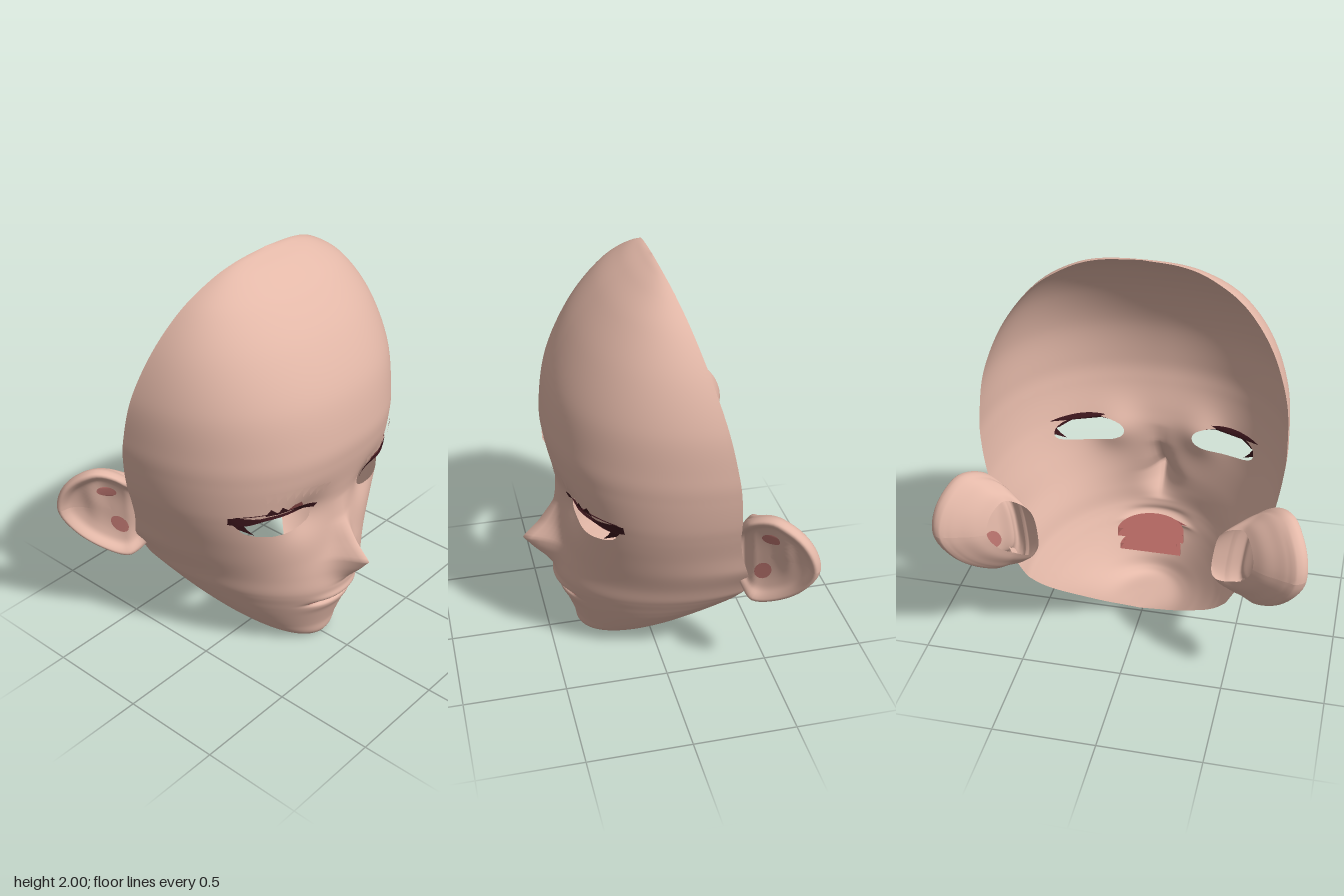
import * as THREE from 'three';

const mat = (name, color) => {
  const m = new THREE.MeshStandardMaterial({ color, side: THREE.DoubleSide });
  m.name = name;
  return m;
};
const V = (x, y, z) => new THREE.Vector3(x, y, z);
const bell = (v, c, w) => Math.exp(-(((v - c) / w) ** 2));
const step = THREE.MathUtils.smoothstep;

// One row per level: centre-line y, z, then rim x, y, z
const ROWS = [
  [2, -.037, 0, 2, -.037], [1.985, .005, .19, 1.985, -.042], [1.94, .09, .335, 1.94, -.06],
  [1.84, .215, .49, 1.84, -.095], [1.67, .35, .62, 1.67, -.148], [1.45, .455, .702, 1.45, -.21],
  [1.23, .49, .72, 1.23, -.258], [1.1, .48, .712, 1.1, -.278], [.96, .45, .69, .96, -.29],
  [.865, .435, .665, .865, -.295], [.73, .432, .625, .735, -.32], [.6, .44, .595, .61, -.36],
  [.49, .456, .562, .51, -.388], [.41, .465, .535, .44, -.378], [.36, .46, .51, .4, -.358],
  [.31, .445, .482, .36, -.332], [.26, .428, .455, .325, -.305], [.19, .4, .41, .27, -.255],
  [.1, .367, .335, .19, -.175], [.03, .35, .255, .125, -.11], [0, .3, .185, .085, -.07],
  [.02, .15, .1, .06, -.045], [.05, -.04, 0, .05, -.04],
];
const centreLine = new THREE.CatmullRomCurve3(ROWS.map(r => V(0, r[0], r[1])), false, 'catmullrom', .5);
const rimLine = new THREE.CatmullRomCurve3(ROWS.map(r => V(r[2], r[3], r[4])), false, 'catmullrom', .5);

// Nose height along the centre line, as a curve over y
const noseKeys = [[.4, 0], [.44, .035], [.5, .1], [.573, .17], [.65, .1], [.77, .02], [.88, 0]];
function noseHeight(y) {
  for (let i = 1; i < noseKeys.length; i++) {
    const [y0, h0] = noseKeys[i - 1], [y1, h1] = noseKeys[i];
    if (y >= y0 && y <= y1) return h0 + (h1 - h0) * (y - y0) / (y1 - y0);
  }
  return 0;
}

// Curved face sheet: u runs side to side (-1..1), v from crown to under the chin
function facePoint(u, v) {
  const c = centreLine.getPoint(v), r = rimLine.getPoint(v), q = Math.abs(u);
  const fullness = 2 + .25 * step(c.y, .4, .8) + .25 * bell(c.y, .85, .28);
  const e = 2 / fullness, a = q * Math.PI / 2;
  const tuck = .04 * step(.65 - r.y, 0, .2) * Math.min(1, Math.max(0, r.x / .3));
  const x = r.x * Math.sin(a) ** e - tuck * q ** 6;
  const y = c.y + (r.y - c.y) * q * q;
  let z = r.z + (c.z - r.z) * Math.max(0, Math.cos(a)) ** e;
  if (c.z > .3) {
    const noseWidth = .045 + .016 * bell(y, .52, .1);
    z += noseHeight(y) * Math.exp(-((Math.abs(x) / noseWidth) ** 1.4));
    const lips = Math.exp(-((x / .16) ** 4));
    z += lips * (.014 * bell(y, .33, .022) - .03 * bell(y, .296, .012) + .006 * bell(y, .258, .025));
    z -= .045 * bell(x, .22, .11) * bell(y, .86, .11);
  }
  return V(Math.sign(u) * x, y, z);
}
function faceSheet() {
  const g = new THREE.PlaneGeometry(2, 1, 120, 176), p = g.attributes.position;
  for (let i = 0; i < p.count; i++) {
    const f = facePoint(p.getX(i), Math.min(1, Math.max(0, .5 - p.getY(i))));
    p.setXYZ(i, f.x, f.y, f.z);
  }
  g.computeVertexNormals();
  return g;
}

// Negative inside an eye opening
function eyeField(p) {
  if (p.z < 0) return 1;
  const dx = Math.abs(p.x) - .345, dy = p.y - .862 - .07 * dx;
  return (Math.abs(dx) / .168) ** 2.3 + (Math.abs(dy) / .066) ** 2.3 - 1;
}
// Trim triangles where the field is negative, keeping smooth normals
function trim(g, field) {
  const P = g.attributes.position, N = g.attributes.normal, idx = g.index.array, pos = [], nor = [];
  for (let i = 0; i < idx.length; i += 3) {
    const tri = [0, 1, 2].map(k => {
      const p = new THREE.Vector3().fromBufferAttribute(P, idx[i + k]);
      return { p, n: new THREE.Vector3().fromBufferAttribute(N, idx[i + k]), f: field(p) };
    });
    const out = [];
    tri.forEach((a, k) => {
      const b = tri[(k + 1) % 3];
      if (a.f >= 0) out.push(a);
      if ((a.f >= 0) !== (b.f >= 0)) {
        const t = a.f / (a.f - b.f);
        out.push({ p: a.p.clone().lerp(b.p, t), n: a.n.clone().lerp(b.n, t).normalize() });
      }
    });
    for (let k = 2; k < out.length; k++)
      for (const o of [out[0], out[k - 1], out[k]]) { pos.push(...o.p.toArray()); nor.push(...o.n.toArray()); }
  }
  const r = new THREE.BufferGeometry();
  r.setAttribute('position', new THREE.Float32BufferAttribute(pos, 3));
  r.setAttribute('normal', new THREE.Float32BufferAttribute(nor, 3));
  return r;
}

// Flat outline laid over a target surface along z
const ray = new THREE.Raycaster();
function drape(name, pts, target, lift, material) {
  const g = new THREE.ShapeGeometry(new THREE.Shape(pts.map(p => new THREE.Vector2(p[0], p[1])))), p = g.attributes.position;
  for (let i = 0; i < p.count; i++) {
    ray.set(V(p.getX(i), p.getY(i), 3), V(0, 0, -1));
    const hit = ray.intersectObject(target)[0];
    p.setZ(i, (hit ? hit.point.z : 0) + lift);
  }
  g.computeVertexNormals();
  const m = new THREE.Mesh(g, material);
  m.name = name;
  return m;
}
const smooth = (pts, n) => new THREE.SplineCurve(pts.map(p => new THREE.Vector2(...p))).getPoints(n).map(p => [p.x, p.y]);

// Ear: one outline repeated as rings from the open back, round the rim, into the bowl
function earGeometry() {
  const outline = new THREE.CatmullRomCurve3([[.4, .78], [.35, .92], [.21, 1.015], [.08, .98], [0, .88], [-.03, .7],
    [-.01, .53], [.08, .485], [.2, .53], [.33, .64]].map(p => V(p[0], p[1], 0)), true);
  const rings = [[.55, -.13], [.68, -.11], [.8, -.08], [.93, -.045], [1, -.005], [.985, .022], [.93, .032], [.86, .022],
    [.76, -.005], [.6, -.02], [.35, -.03], [0, -.032]];
  const section = new THREE.CatmullRomCurve3(rings.map(r => V(r[0], r[1], 0)));
  const g = new THREE.PlaneGeometry(1, 1, 56, 44), p = g.attributes.position;
  for (let i = 0; i < p.count; i++) {
    const o = outline.getPoint((p.getX(i) + .5) % 1), s = section.getPoint(p.getY(i) + .5);
    const back = s.y < -.04;
    const x = .15 + (o.x - .15) * s.x - (back ? .2 * (1 - s.x) : 0), y = .75 + (o.y - .75) * s.x;
    const fold = back ? 0 : .02 * bell(x, .23, .04) * bell(y, .84, .12);
    p.setXYZ(i, x, y, s.y + fold + .15 * (y - .75) - .06 * step(.08 - x, 0, .1));
  }
  g.computeVertexNormals();
  return g;
}

export function createModel() {
  const skin = mat('skin', 0xe3b8a8), lash = mat('lash', 0x3a151b);
  const flush = mat('flush', 0xc07872), lid = mat('lid', 0x94504f), mouthRed = mat('mouthRed', 0xb06660);
  const model = new THREE.Group();
  const add = (parent, name, g, m) => {
    const mesh = new THREE.Mesh(g, m);
    mesh.name = name;
    parent.add(mesh);
    return mesh;
  };

  // Open-backed face with eye openings
  const sheet = faceSheet();
  const base = new THREE.Mesh(sheet, skin);
  add(model, 'face', trim(sheet, eyeField), skin);

  // Eye lashes and ears, mirrored to both sides
  for (const side of [1, -1]) {
    const half = new THREE.Group();
    half.name = side > 0 ? 'leftSide' : 'rightSide';
    half.scale.x = side;
    model.add(half);

    const upper = smooth([[.16, .91], [.24, .932], [.34, .945], [.45, .948], [.56, .94]], 24);
    const lower = smooth([[.555, .9], [.5, .892], [.43, .914], [.33, .918], [.24, .906], [.17, .885]], 24);
    half.add(drape('upperLash', [...upper, ...lower], base, .01, lash));
    half.add(drape('outerLash', [[.54, .9], [.51, .9], [.49, .865], [.46, .826], [.5, .855], [.52, .87]], base, .006, lash));
    for (const x of [.36, .41])
      half.add(drape('lashSpike', [[x - .03, .94], [x + .03, .94], [x + .012, .978]], base, .009, lash));
    half.add(drape('lidFold', [[.24, .93], [.345, .942], [.31, .967], [.27, .97]], base, .007, lid));

    const ear = new THREE.Group();
    ear.name = 'ear';
    const shell = add(ear, 'earShell', earGeometry(), skin);
    // Flushed patches show on both faces of the bowl
    for (const [x, y, w, h] of [[.16, .87, .045, .032], [.115, .66, .04, .05]])
      for (const lift of [.005, -.006])
        ear.add(drape('earFlush', Array.from({ length: 16 }, (_, i) => {
          const a = i / 8 * Math.PI;
          return [x + w * Math.cos(a) + .3 * h * Math.sin(a), y + h * Math.sin(a)];
        }), shell, lift, flush));
    ear.position.set(.6, 0, -.3);
    ear.rotation.y = .89;
    half.add(ear);
  }

  // Jagged brow plates
  const tooth = x => {
    const s = Math.abs(x), top = 1.035 + .04 * step(s, .13, .33);
    model.add(drape('browTooth', [[x - .023, top], [x + .01 * Math.sign(x), top - .058], [x + .023, top]], base, .014, skin));
  };
  [.155, .205, .25, .295, .39, .43].forEach(tooth);
  for (let i = 0; i < 8; i++) tooth(-.155 - i * .04);

  // Mouth line and the parts behind it
  const lineTop = smooth([[-.175, .302], [-.09, .309], [0, .31], [.09, .309], [.175, .302]], 30);
  const lineLow = smooth([[.175, .3], [.09, .298], [0, .297], [-.09, .298], [-.175, .3]], 30);
  model.add(drape('mouthLine', [...lineTop, ...lineLow], base, .003, lid));
  for (const [name, y, h, w] of [['upperMouth', .335, .05, .175], ['tongue', .282, .016, .14], ['lowerMouth', .245, .035, .16]]) {
    const g = new THREE.CylinderGeometry(1, 1, h, 28, 1, false, -Math.PI / 2, Math.PI);
    g.scale(w, 1, .17);
    add(model, name, g, mouthRed).position.set(0, y, .21);
  }
  return model;
}
